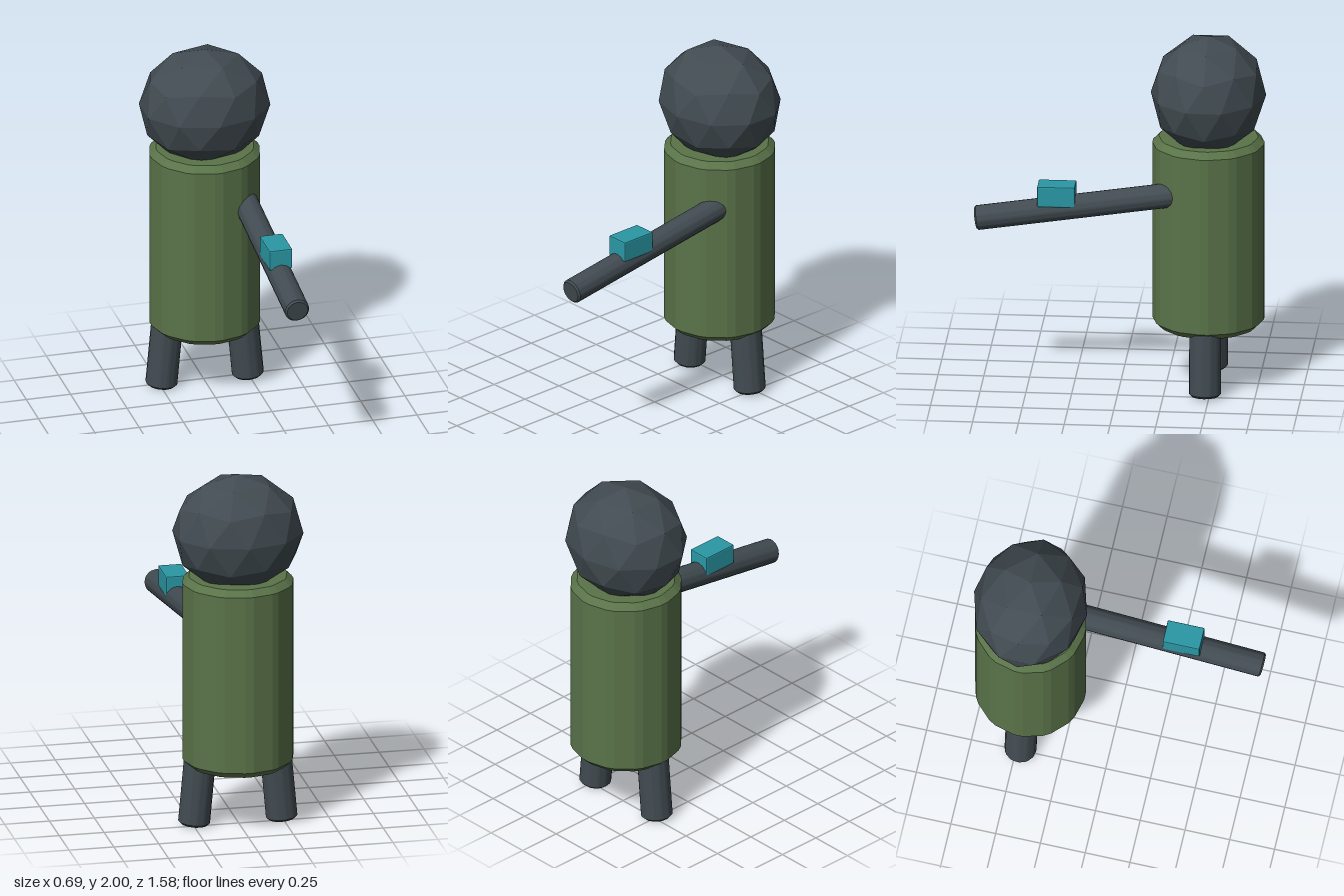
import * as THREE from 'three';
import { RoundedBoxGeometry } from 'three/addons/geometries/RoundedBoxGeometry.js';

const material = (color) => new THREE.MeshStandardMaterial({ color, flatShading: true });

// Twelve-sided rod between two points, with chamfered long edges and rims
function rod(name, from, to, radius, bevel, mat) {
  const points = [];
  for (let i = 0; i < 12; i++) {
    for (const offset of [-0.07, 0.07]) {
      const a = (i * Math.PI) / 6 + offset;
      points.push(new THREE.Vector2(Math.cos(a), Math.sin(a)).multiplyScalar(radius - bevel));
    }
  }
  const axis = new THREE.Vector3().subVectors(to, from);
  const geometry = new THREE.ExtrudeGeometry(new THREE.Shape(points), {
    depth: axis.length() - 2 * bevel,
    bevelSize: bevel,
    bevelThickness: bevel,
    bevelSegments: 1,
  });
  geometry.translate(0, 0, bevel);
  const mesh = new THREE.Mesh(geometry, mat);
  mesh.name = name;
  mesh.position.copy(from);
  mesh.quaternion.setFromUnitVectors(new THREE.Vector3(0, 0, 1), axis.normalize());
  return mesh;
}

export function createModel() {
  const group = new THREE.Group();
  const dark = material(0x414b51);
  const green = material(0x5a7349);
  const cyan = material(0x2a98a5);
  const v = (x, y, z) => new THREE.Vector3(x, y, z);
  const bodyZ = -0.477;

  // Body
  group.add(rod('body', v(0, 0.345, bodyZ), v(0, 1.425, bodyZ), 0.305, 0.035, green));

  // Faceted head, turned so one vertex points straight up
  const headGeometry = new THREE.IcosahedronGeometry(1, 1);
  headGeometry.rotateZ(-Math.atan(2 / (1 + Math.sqrt(5))));
  headGeometry.scale(0.362, 0.33, 0.315);
  const head = new THREE.Mesh(headGeometry, dark);
  head.name = 'head';
  head.position.set(0, 1.67, bodyZ);
  group.add(head);

  // Legs, splayed slightly outwards
  for (const [name, side] of [['leftLeg', 1], ['rightLeg', -1]]) {
    group.add(rod(name, v(side * 0.245, 0.008, bodyZ), v(side * 0.203, 0.47, bodyZ), 0.087, 0.014, dark));
  }

  // Single arm reaching forward and down
  group.add(rod('arm', v(0.18, 1.155, -0.38), v(0.18, 0.978, 0.78), 0.068, 0.01, dark));

  // Small block on the forearm
  const block = new THREE.Mesh(new RoundedBoxGeometry(0.13, 0.117, 0.206, 1, 0.007), cyan);
  block.name = 'forearmBlock';
  block.position.set(0.18, 1.13, 0.337);
  group.add(block);

  return group;
}
